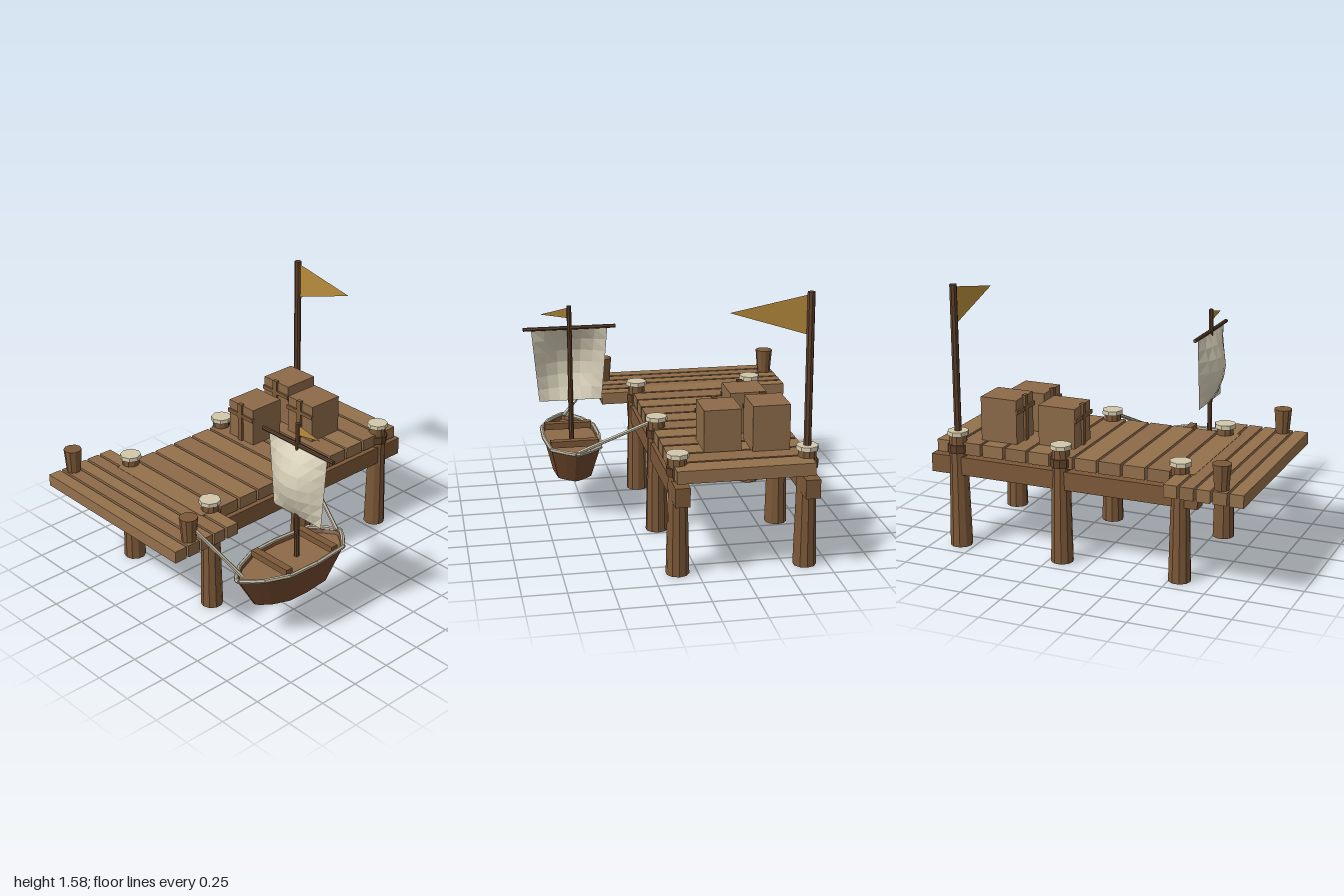
import * as THREE from 'three';

const mat = (color, double = false) => new THREE.MeshStandardMaterial({
  color, flatShading: true, side: double ? THREE.DoubleSide : THREE.FrontSide });

const PLANK = mat(0x94704c), PLANK2 = mat(0x8c6a48), POST = mat(0x7c5838), DARK = mat(0x5e4029);
const CREAM = mat(0xd2c7ab), ROPE = mat(0xb9b09a), HULL = mat(0x70482c, true);
const SAIL = mat(0xd8d0b8, true), FLAG = mat(0xb88c3c, true);

export function createModel() {
  const root = new THREE.Group();

  function add(name, geometry, material, x = 0, y = 0, z = 0, parent = root) {
    const mesh = new THREE.Mesh(geometry, material);
    mesh.name = name;
    mesh.position.set(x, y, z);
    parent.add(mesh);
    return mesh;
  }
  // box given by its minimum and maximum corners
  const box = (name, material, [x0, y0, z0], [x1, y1, z1], parent) =>
    add(name, new THREE.BoxGeometry(x1 - x0, y1 - y0, z1 - z0), material,
      (x0 + x1) / 2, (y0 + y1) / 2, (z0 + z1) / 2, parent);
  // upright tapered cylinder from y0 to y1
  const column = (name, material, x, z, y0, y1, rBottom, rTop, sides = 8, parent = root) =>
    add(name, new THREE.CylinderGeometry(rTop, rBottom, y1 - y0, sides), material,
      x, (y0 + y1) / 2, z, parent);
  // straight round bar between two points
  function bar(name, material, a, b, r, parent, sides = 6) {
    const p = new THREE.Vector3(...a), q = new THREE.Vector3(...b);
    const mesh = add(name, new THREE.CylinderGeometry(r, r, p.distanceTo(q), sides), material, 0, 0, 0, parent);
    mesh.position.copy(p).add(q).multiplyScalar(0.5);
    mesh.quaternion.setFromUnitVectors(new THREE.Vector3(0, 1, 0), q.sub(p).normalize());
  }
  function pennant(name, points, z, parent) {
    const shape = new THREE.Shape(points.map(p => new THREE.Vector2(...p)));
    add(name, new THREE.ShapeGeometry(shape), FLAG, 0, 0, z, parent);
  }
  function group(name) {
    const g = new THREE.Group();
    g.name = name;
    root.add(g);
    return g;
  }

  // Walkway and front platform
  const deck = group('deck');
  for (let i = 0; i < 11; i++) {
    const z = -0.968 + i * 0.148;
    box('walkwayPlank', i % 2 ? PLANK2 : PLANK, [-0.64, 0.573, z], [0.14, 0.647, z + 0.132], deck);
  }
  for (let i = 0; i < 5; i++) {
    const z = 0.54 + i * 0.095;
    box('platformPlank', i % 2 ? PLANK2 : PLANK, [-0.845, 0.572, z], [0.335, 0.645, z + 0.08], deck);
  }
  for (const x of [-0.617, 0.113])
    box('beam', POST, [x - 0.042, 0.45, -1], [x + 0.042, 0.56, 0.67], deck);

  // Piles with collars and pale caps
  const piles = group('piles');
  for (const x of [-0.62, 0.113]) for (const z of [-0.84, -0.175, 0.555]) {
    column('pile', POST, x, z, 0, 0.69, 0.067, 0.051, 10, piles);
    column('collar', DARK, x, z, 0.583, 0.632, 0.063, 0.063, 10, piles);
    column('cap', CREAM, x, z, 0.687, 0.712, 0.066, 0.064, 8, piles);
  }

  // Mooring bollards on the platform
  for (const x of [-0.79, 0.283])
    column('bollard', POST, x, 0.857, 0.645, 0.79, 0.042, 0.054, 10);

  // Flagpole
  column('flagpole', DARK, -0.62, -0.84, 0.7, 1.582, 0.022, 0.022);
  pennant('flag', [[-0.6, 1.345], [-0.17, 1.483], [-0.6, 1.565]], -0.84);

  // Crates, strapped on the front
  for (const [x, zBack, top] of [[-0.446, -0.72, 0.912], [-0.177, -0.672, 0.886], [-0.393, -0.374, 0.886]]) {
    const crate = group('crate'), z = zBack + 0.23;
    box('crateBox', PLANK2, [x - 0.108, 0.645, zBack], [x + 0.108, top, z], crate);
    box('crossStrap', POST, [x - 0.113, top - 0.082, z - 0.006], [x + 0.113, top - 0.058, z + 0.012], crate);
    box('uprightStrap', POST, [x - 0.017, 0.647, z - 0.008], [x + 0.017, top + 0.01, z + 0.015], crate);
  }

  // Boat hull: outline of one side as [z, half width], mirrored into a ring
  const boat = group('boat');
  boat.position.set(0.563, 0, 0.348);
  const side = [[-0.4, 0.012], [-0.355, 0.075], [-0.285, 0.148], [-0.05, 0.17], [0.15, 0.163],
    [0.29, 0.105], [0.355, 0.055], [0.4, 0.012]];
  const outline = [...side.map(([z, w]) => [w, z]), ...side.map(([z, w]) => [-w, z]).reverse()];
  const n = outline.length;
  const ring = (y, s) => outline.flatMap(([x, z]) => [x * s, y, z * s]);

  function surface(positions, index) {
    const g = new THREE.BufferGeometry();
    g.setAttribute('position', new THREE.Float32BufferAttribute(positions, 3));
    g.setIndex(index);
    g.computeVertexNormals();
    return g;
  }
  const walls = [], floor = [];
  for (let i = 0; i < n; i++) {
    const j = (i + 1) % n;
    walls.push(i, n + i, j, j, n + i, n + j);
    if (i > 0 && i < n - 1) floor.push(0, i, i + 1);
  }
  add('hull', surface([...ring(0.24, 0.68), ...ring(0.455, 1)], [...walls, ...floor]), HULL, 0, 0, 0, boat);
  add('boatFloor', surface(ring(0.425, 0.95), floor.slice().reverse()), PLANK2, 0, 0, 0, boat);

  // Rail round the rim, one bar per outline edge
  outline.forEach(([x, z], i) => {
    const [x2, z2] = outline[(i + 1) % n];
    bar('rail', ROPE, [x, 0.455, z], [x2, 0.455, z2], 0.013, boat);
  });
  for (const z of [-0.215, 0.14])
    box('seat', POST, [-0.146, 0.447, z - 0.023], [0.146, 0.487, z + 0.023], boat);

  // Mast, yard, sail and pennant
  const mastZ = -0.055;
  column('mast', DARK, 0, mastZ, 0.425, 1.283, 0.016, 0.014, 8, boat);
  bar('yard', DARK, [-0.28, 1.147, mastZ], [0.28, 1.147, mastZ], 0.012, boat, 8);
  const sail = new THREE.PlaneGeometry(1, 1, 6, 6), p = sail.attributes.position;
  for (let i = 0; i < p.count; i++) {
    const u = p.getX(i), v = p.getY(i) + 0.5;
    const bulge = Math.cos(Math.PI * u) * Math.sin(Math.PI * v);
    p.setXYZ(i, u * (0.383 + 0.08 * v), 0.69 + 0.45 * v, mastZ + 0.088 * bulge);
  }
  sail.computeVertexNormals();
  add('sail', sail, SAIL, 0, 0, 0, boat);
  pennant('mastPennant', [[0.012, 1.208], [0.175, 1.237], [0.012, 1.27]], mastZ, boat);

  // Mooring ropes
  bar('frontRope', ROPE, [0.29, 0.735, 0.85], [0.563, 0.46, 0.705], 0.012);
  bar('backRope', ROPE, [0.125, 0.685, -0.175], [0.563, 0.46, -0.035], 0.012);

  return root;
}
